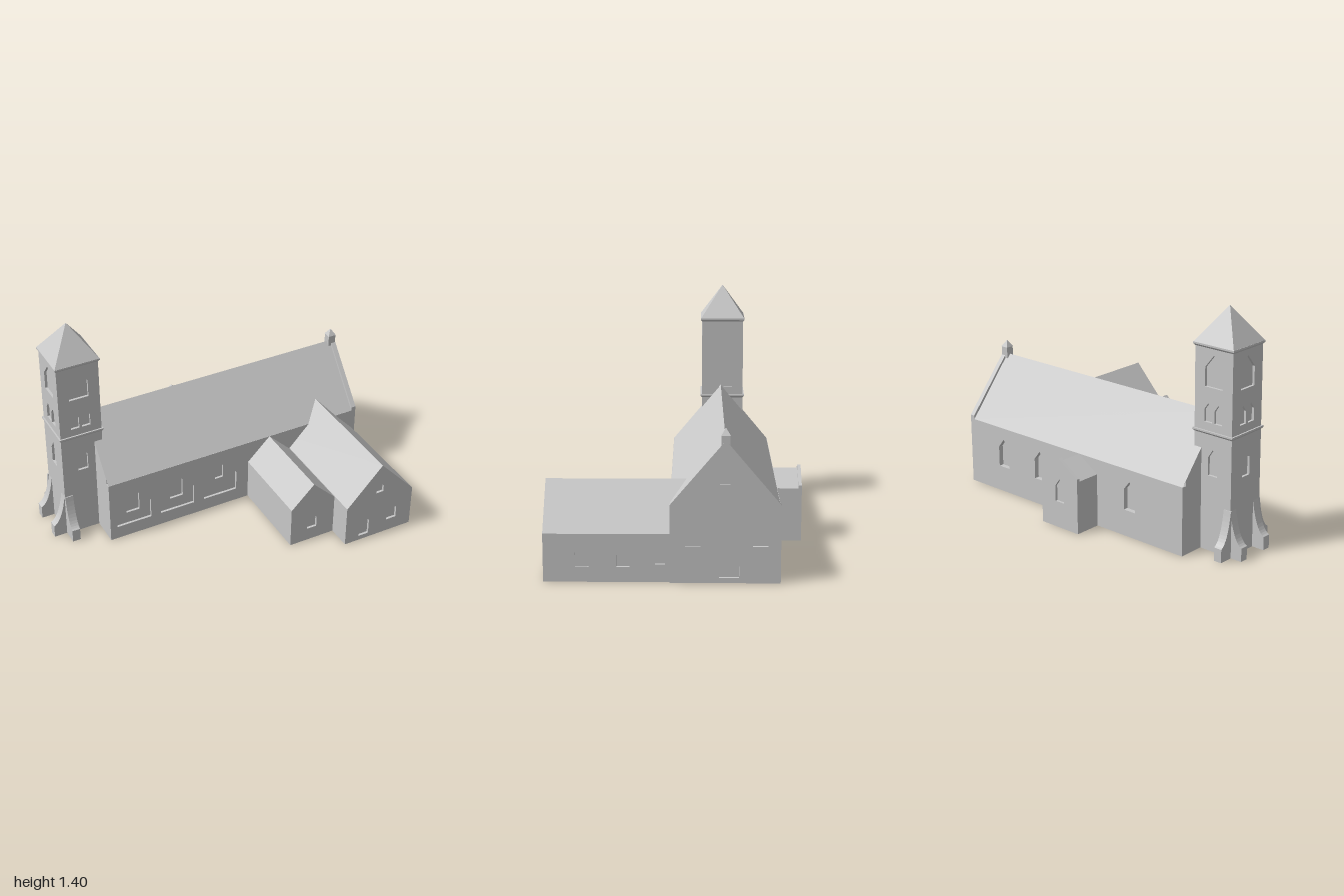
import * as THREE from 'three';

const stone = new THREE.MeshStandardMaterial({ color: 0xc8c8c8 });
stone.name = 'stone grey';

const TURN = { front: 0, right: Math.PI / 2, back: Math.PI, left: -Math.PI / 2 };
const D = 0.015; // depth of window recesses

// Outlines in (u, y)
const rect = (u0, u1, h) => [[u0, 0], [u1, 0], [u1, h], [u0, h]];
const gable = (c, hw, eave, ridge) =>
  [[c - hw, 0], [c + hw, 0], [c + hw, eave], [c, ridge], [c - hw, eave]];
const chevron = (c, hw, eave, ridge) =>
  [[c - hw, eave], [c, ridge - 0.03], [c + hw, eave], [c, ridge]];
const toPoints = (list) => list.map(([x, y]) => new THREE.Vector2(x, y));

// Pointed window: centre, half width, bottom, shoulder, top
const windowHole = ([c, hw, bottom, shoulder, top]) => new THREE.Path(toPoints(
  [[c - hw, bottom], [c + hw, bottom], [c + hw, shoulder], [c, top], [c - hw, shoulder]]));

// Slab whose outer face lies `offset` from the origin towards `face`
function slab(parent, name, outline, face, offset, depth, windows = []) {
  const shape = new THREE.Shape(toPoints(outline));
  shape.holes = windows.map(windowHole);
  const geo = new THREE.ExtrudeGeometry(shape, { depth, bevelEnabled: false });
  geo.translate(0, 0, offset - depth);
  geo.rotateY(TURN[face]);
  const mesh = new THREE.Mesh(geo, stone);
  mesh.name = name;
  parent.add(mesh);
}

// Four-sided frustum with flat faces; half widths at top and bottom
function frustum(parent, name, top, bottom, y0, y1, x, z) {
  const geo = new THREE.CylinderGeometry(top * Math.SQRT2, bottom * Math.SQRT2, y1 - y0, 4)
    .rotateY(Math.PI / 4).toNonIndexed();
  geo.computeVertexNormals();
  const mesh = new THREE.Mesh(geo, stone);
  mesh.name = name;
  mesh.position.set(x, (y0 + y1) / 2, z);
  parent.add(mesh);
}

function part(root, name) {
  const g = new THREE.Group();
  g.name = name;
  root.add(g);
  return g;
}

function buildNave(root) {
  const nave = part(root, 'nave');
  slab(nave, 'naveCore', gable(0.26, 0.27, 0.446, 0.77), 'right', 0.985, 1.695);
  slab(nave, 'naveRoof', chevron(0.26, 0.3, 0.41, 0.77), 'right', 0.975, 1.685);
  slab(nave, 'endGable', gable(0.26, 0.3, 0.435, 0.79), 'right', 1, 0.03, [
    [0.085, 0.041, 0.205, 0.325, 0.37], [0.45, 0.041, 0.205, 0.325, 0.37],
    [0.282, 0.054, 0.03, 0.135, 0.195], [0.257, 0.027, 0.55, 0.6, 0.63]]);
  // Front wall with windows set in wide, stepped recesses
  const bays = [-0.552, -0.26, 0.034];
  slab(nave, 'frontWall', rect(-0.71, 0.98, 0.412), 'front', 0.04, D,
    bays.map((c) => [c, 0.113, 0.085, 0.215, 0.38]));
  slab(nave, 'frontInnerWall', rect(-0.71, 0.98, 0.412), 'front', 0.04 - D, D, [
    [bays[0], 0.043, 0.16, 0.28, 0.337], [bays[1], 0.043, 0.16, 0.28, 0.337],
    [bays[2], 0.027, 0.2, 0.29, 0.322]]);
  slab(nave, 'backWall', rect(-0.98, 0.71, 0.412), 'back', 0.56, 0.03,
    [-0.71, -0.4, 0.32].map((c) => [c, 0.043, 0.16, 0.285, 0.34]));
  // Finial on the end gable
  frustum(nave, 'finialBase', 0.024, 0.024, 0.745, 0.815, 0.974, -0.26);
  frustum(nave, 'finialCap', 0, 0.026, 0.815, 0.855, 0.974, -0.26);
}

// Gabled wing running out of the nave along z
function buildWing(root, name, face, c, hw, eave, ridge, end, length, endWindows, sideWindows = []) {
  const wing = part(root, name);
  const slope = (ridge - eave) / hw;
  slab(wing, name + 'Core', gable(c, hw - D, eave + slope * D, ridge), face, end - D, length - D);
  slab(wing, name + 'Roof', chevron(c, hw, eave, ridge), face, end, length);
  slab(wing, name + 'EndWall', gable(c, hw, eave, ridge), face, end, D, endWindows);
  const cx = face === 'front' ? c : -c;
  const span = face === 'front' ? [-end, length - end] : [end - length, end];
  slab(wing, name + 'RightWall', rect(...span, eave), 'right', cx + hw, D, sideWindows);
  slab(wing, name + 'LeftWall', rect(-span[1], -span[0], eave), 'left', hw - cx, D);
  return wing;
}

function buildWings(root) {
  buildWing(root, 'smallWing', 'front', 0.377, 0.148, 0.265, 0.412, 0.58, 0.57,
    [[0.373, 0.033, 0.085, 0.155, 0.195]]);
  buildWing(root, 'largeWing', 'front', 0.755, 0.23, 0.27, 0.518, 0.725, 0.825, [
    [0.653, 0.034, 0.03, 0.13, 0.163], [0.846, 0.034, 0.085, 0.16, 0.195],
    [0.75, 0.024, 0.32, 0.363, 0.39]], [
    [-0.515, 0.036, 0.085, 0.165, 0.197], [-0.292, 0.036, 0.085, 0.165, 0.197],
    [-0.092, 0.027, 0.1, 0.145, 0.172]]);
  // Rear porch with a raised gable
  const porch = buildWing(root, 'porch', 'back', -0.073, 0.142, 0.32, 0.41, 0.71, 0.19, []);
  slab(porch, 'porchGable', gable(-0.073, 0.142, 0.337, 0.43), 'back', 0.725, 0.02,
    [[-0.073, 0.033, 0.16, 0.255, 0.3]]);
}

function buildTower(root) {
  const tower = part(root, 'tower');
  const X = -0.79, Z = -0.27, H = 0.13;
  const core = new THREE.Mesh(new THREE.BoxGeometry(2 * (H - D), 1.18, 2 * (H - D)), stone);
  core.name = 'towerCore';
  core.position.set(X, 0.59, Z);
  tower.add(core);
  // Four identical windowed faces, the lower window left out where the nave joins
  const walls = part(tower, 'towerWalls');
  walls.position.set(X, 0, Z);
  for (const face of Object.keys(TURN)) {
    const windows = [[0, 0.06, 0.96, 1.07, 1.145],
      [-0.035, 0.027, 0.758, 0.83, 0.868], [0.035, 0.027, 0.758, 0.83, 0.868]];
    if (face !== 'right') windows.push([0, 0.032, 0.45, 0.555, 0.605]);
    slab(walls, 'towerWall', rect(-H, H, 1.18), face, H, D, windows);
  }
  // String course, cornice and spire
  for (const y of [0.688, 1.178]) {
    frustum(tower, 'courseUnderside', 0.139, 0.129, y, y + 0.012, X, Z);
    frustum(tower, 'courseBand', 0.139, 0.139, y + 0.012, y + 0.022, X, Z);
  }
  frustum(tower, 'spire', 0, 0.139, 1.198, 1.4, X, Z);

  // Curved buttresses
  const profile = new THREE.Shape();
  profile.moveTo(-0.01, 0);
  profile.lineTo(0.08, 0);
  profile.lineTo(0.08, 0.08);
  profile.quadraticCurveTo(0.025, 0.105, 0, 0.28);
  profile.lineTo(-0.01, 0.28);
  const geo = new THREE.ExtrudeGeometry(profile, { depth: 0.05, bevelEnabled: false, curveSegments: 10 });
  geo.translate(0, 0, -0.025);
  for (const [x, z, turn] of [
    [-0.92, -0.172, Math.PI], [-0.92, -0.375, Math.PI],
    [-0.895, -0.135, -Math.PI / 2], [-0.902, -0.405, Math.PI / 2]]) {
    const buttress = new THREE.Mesh(geo, stone);
    buttress.name = 'buttress';
    buttress.position.set(x, 0, z);
    buttress.rotation.y = turn;
    tower.add(buttress);
  }
}

export function createModel() {
  const church = new THREE.Group();
  church.name = 'church';
  buildNave(church);
  buildWings(church);
  buildTower(church);
  return church;
}
